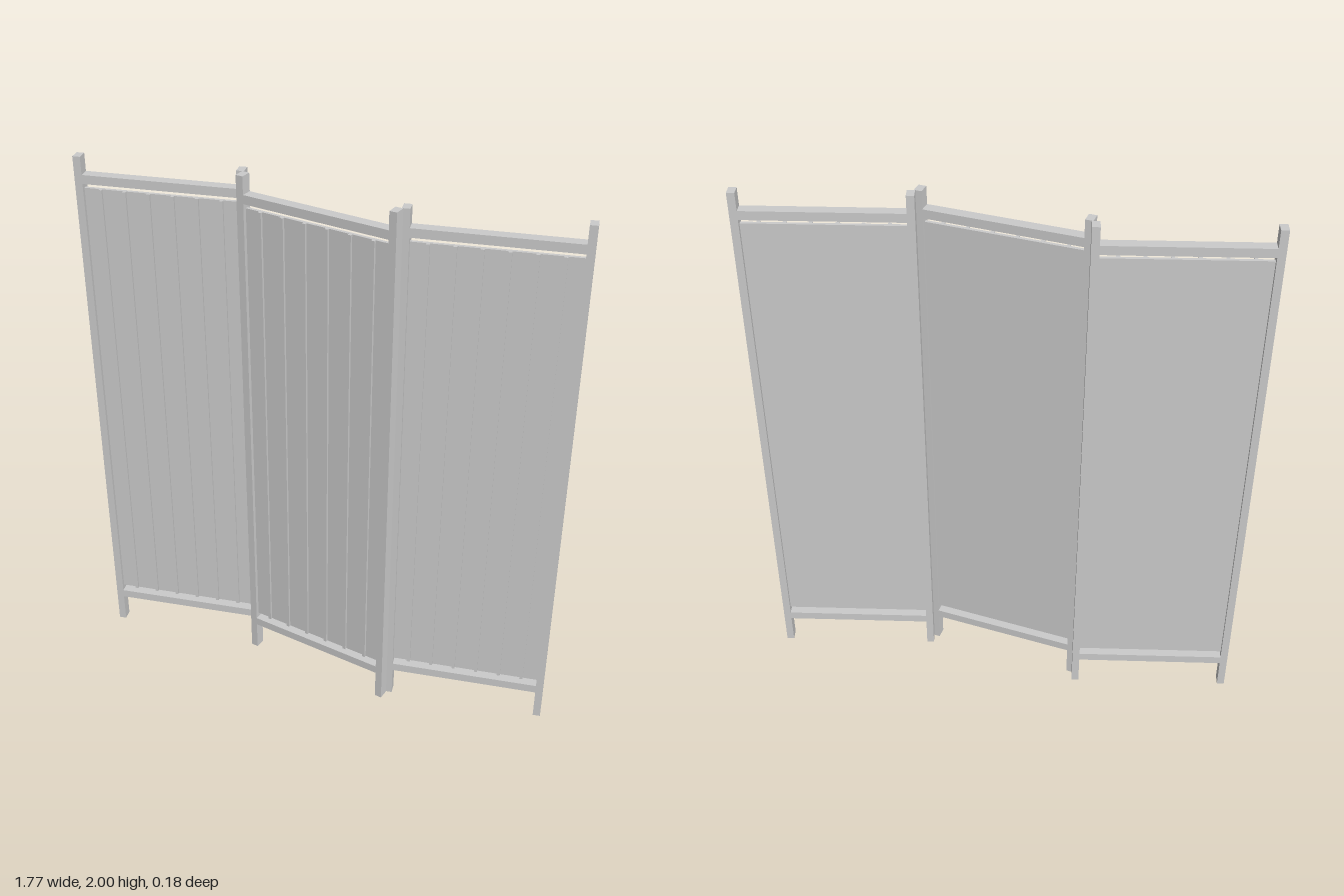
import * as THREE from 'three';

const W = 0.6, H = 2, DEPTH = 0.04, POST = 0.027, ANGLE = 0.16;
const material = new THREE.MeshStandardMaterial({ color: 0xcccccc });

function box(parent, name, w, h, d, x, y, z) {
  const mesh = new THREE.Mesh(new THREE.BoxGeometry(w, h, d), material);
  mesh.name = name;
  mesh.position.set(x, y, z);
  parent.add(mesh);
}

// One framed leaf: two posts, two rails, a thin board and its battens
function createLeaf(name) {
  const leaf = new THREE.Group();
  leaf.name = name;
  const inner = W - 2 * POST;
  for (const side of [-1, 1]) {
    box(leaf, side < 0 ? 'rightPost' : 'leftPost', POST, H, DEPTH, side * (W - POST) / 2, H / 2, 0);
  }
  box(leaf, 'bottomRail', inner, 0.032, DEPTH, 0, 0.13, 0);
  box(leaf, 'topRail', inner, 0.032, DEPTH, 0, 1.92, 0);
  box(leaf, 'board', inner, 1.72, 0.012, 0, 1.025, 0);

  // Vertical battens on the front face
  for (let i = 1; i < 7; i++) {
    box(leaf, 'batten', 0.012, 1.72, 0.01, -W / 2 + i * W / 7, 1.025, 0.01);
  }
  return leaf;
}

export function createModel() {
  const screen = new THREE.Group();
  screen.name = 'foldingScreen';

  // Three leaves folded in a zigzag
  ['rightLeaf', 'middleLeaf', 'leftLeaf'].forEach((name, i) => {
    const leaf = createLeaf(name);
    const fold = i === 1 ? -1 : 1;
    leaf.position.set((i - 1) * 0.587, 0, -0.02 * fold);
    leaf.rotation.y = ANGLE * fold;
    screen.add(leaf);
  });
  return screen;
}
